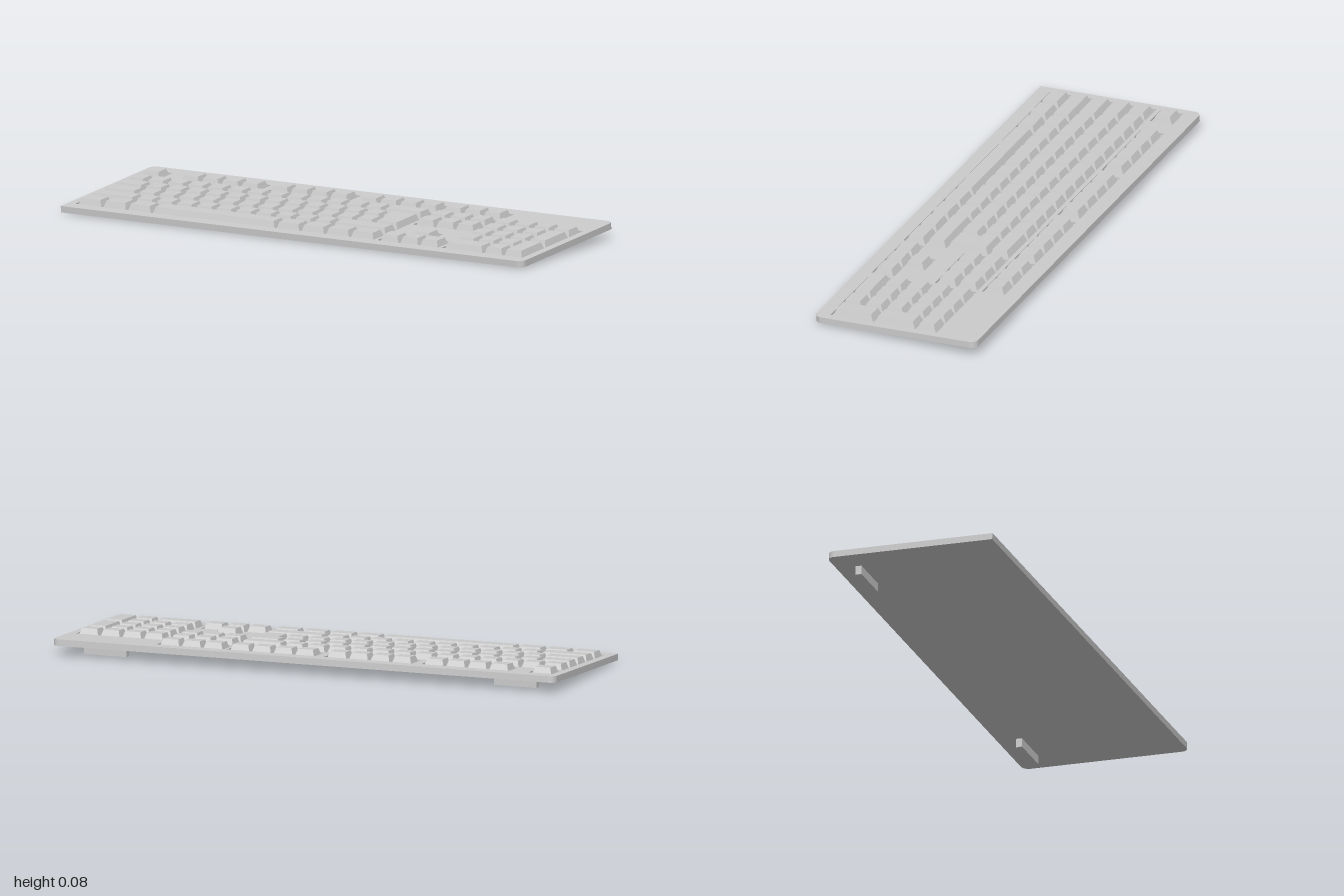
import * as THREE from 'three';

const U = 0.0858;            // key pitch
const X0 = -0.965;           // left edge of the key field
const ROWS = [-0.2225, -0.1125, -0.0267, 0.0591, 0.1449, 0.2307];
const WELL = 0.008;          // depth of the recesses around the keys
const THICK = 0.0245;
const HX = 1, HZ = 0.331;
const TILT = Math.atan(0.0545);

const mat = new THREE.MeshStandardMaterial({ color: 0xcccccc, flatShading: true });

function mesh(geo, name) {
  const m = new THREE.Mesh(geo, mat);
  m.name = name;
  return m;
}

// Case outline: three rounded corners and one square one
function outline() {
  const r = 0.028, s = new THREE.Shape();
  s.moveTo(-HX, -HZ);
  s.lineTo(HX - r, -HZ);
  s.absarc(HX - r, -HZ + r, r, -Math.PI / 2, 0);
  s.absarc(HX - r, HZ - r, r, 0, Math.PI / 2);
  s.absarc(-HX + r, HZ - r, r, Math.PI / 2, Math.PI);
  s.closePath();
  return s;
}

// Flat plate with its underside at height y
function plate(shape, depth, y, name) {
  const g = new THREE.ExtrudeGeometry(shape, { depth, bevelEnabled: false, curveSegments: 4 });
  g.rotateX(-Math.PI / 2);
  g.translate(0, y, 0);
  return mesh(g, name);
}

// Recess path through [x, z] points
function wellPath(points) {
  return new THREE.Path(points.map(([x, z]) => new THREE.Vector2(x, -z)));
}

function rectWell(u0, u1, r0, r1) {
  const m = 0.004;
  const a = X0 + u0 * U - m, b = X0 + u1 * U + m;
  const n = ROWS[r0] - U / 2 - m, f = ROWS[r1] + U / 2 + m;
  return wellPath([[a, n], [b, n], [b, f], [a, f]]);
}

// Recess for the arrow keys, an upside-down T
function arrowWell() {
  const m = 0.004, x = u => X0 + u * U;
  const top = ROWS[4] - U / 2 - m, mid = ROWS[5] - U / 2 - m, low = ROWS[5] + U / 2 + m;
  return wellPath([
    [x(16.25) - m, top], [x(17.25) + m, top], [x(17.25) + m, mid], [x(18.25) + m, mid],
    [x(18.25) + m, low], [x(15.25) - m, low], [x(15.25) - m, mid], [x(16.25) - m, mid],
  ]);
}

// Tapered keycap covering w columns and h rows from column u, row r
function keycap(u, r, w = 1, h = 1, name = 'key') {
  const W = w * U, D = h * U, H = WELL + 0.0198;
  const g = new THREE.BoxGeometry(1, H, 1);
  const p = g.attributes.position;
  for (let i = 0; i < p.count; i++) {
    const top = p.getY(i) > 0;
    p.setX(i, p.getX(i) * (W - (top ? 0.026 : 0.008)));
    p.setZ(i, p.getZ(i) * (D - (top ? 0.030 : 0.008)));
  }
  g.computeVertexNormals();
  const m = mesh(g, name);
  m.position.set(X0 + u * U + W / 2, H / 2 - WELL, ROWS[r] + (h - 1) * U / 2);
  return m;
}

// Row of keys of the given widths
function keyRow(group, u, r, widths) {
  for (const w of widths) {
    group.add(keycap(u, r, w));
    u += w;
  }
}

const ones = n => Array(n).fill(1);

function keyGroup(name, rows) {
  const g = new THREE.Group();
  g.name = name;
  for (const [u, r, widths] of rows) keyRow(g, u, r, widths);
  return g;
}

export function createModel() {
  const model = new THREE.Group();
  model.name = 'keyboard';
  const body = new THREE.Group();
  body.name = 'body';
  body.rotation.x = TILT;
  body.position.y = 0.046;
  model.add(body);

  // Case: solid base and a top frame with recesses
  const frame = outline();
  frame.holes.push(
    rectWell(0, 1, 0, 0), rectWell(2, 6, 0, 0), rectWell(6.5, 10.5, 0, 0), rectWell(11, 15, 0, 0),
    rectWell(15.25, 18.25, 0, 0), rectWell(0, 15, 1, 5), rectWell(15.25, 18.25, 1, 2),
    rectWell(18.5, 22.5, 1, 5), arrowWell(),
  );
  body.add(plate(outline(), THICK - WELL, -THICK, 'caseBase'));
  body.add(plate(frame, WELL, -WELL, 'caseFrame'));

  // Separate row along the back
  body.add(keyGroup('topRowKeys', [
    [0, 0, [1]], [2, 0, ones(4)], [6.5, 0, ones(4)], [11, 0, ones(4)], [15.25, 0, ones(3)],
  ]));

  // Main block, with an L-shaped enter key made of two caps
  const main = keyGroup('mainKeys', [
    [0, 1, [...ones(13), 2]],
    [0, 2, [1.5, ...ones(12)]],
    [0, 3, [1.75, ...ones(12)]],
    [0, 4, [2.25, ...ones(10), 2.75]],
    [0, 5, [1.25, 1.25, 1.25, 6.25, 1.25, 1.25, 1.25, 1.25]],
  ]);
  main.add(keycap(13.75, 2, 1.25, 2, 'enterKey'), keycap(13.5, 2, 1.5, 1, 'enterKeyTop'));
  body.add(main);

  // Navigation and arrow keys
  body.add(keyGroup('navigationKeys', [[15.25, 1, ones(3)], [15.25, 2, ones(3)]]));
  body.add(keyGroup('arrowKeys', [[16.25, 4, [1]], [15.25, 5, ones(3)]]));

  // Number pad with two double-height keys
  const pad = keyGroup('numberPad', [
    [18.5, 1, ones(4)], [18.5, 2, ones(3)], [18.5, 3, ones(3)], [18.5, 4, ones(3)], [18.5, 5, [2, 1]],
  ]);
  pad.add(keycap(21.5, 2, 1, 2, 'plusKey'), keycap(21.5, 4, 1, 2, 'padEnterKey'));
  body.add(pad);

  // Upright feet under the rear edge
  for (const side of [1, -1]) {
    const foot = mesh(new THREE.BoxGeometry(0.17, 0.042, 0.024), side > 0 ? 'leftFoot' : 'rightFoot');
    foot.position.set(side * 0.815, 0.021, -0.244);
    model.add(foot);
  }
  return model;
}
